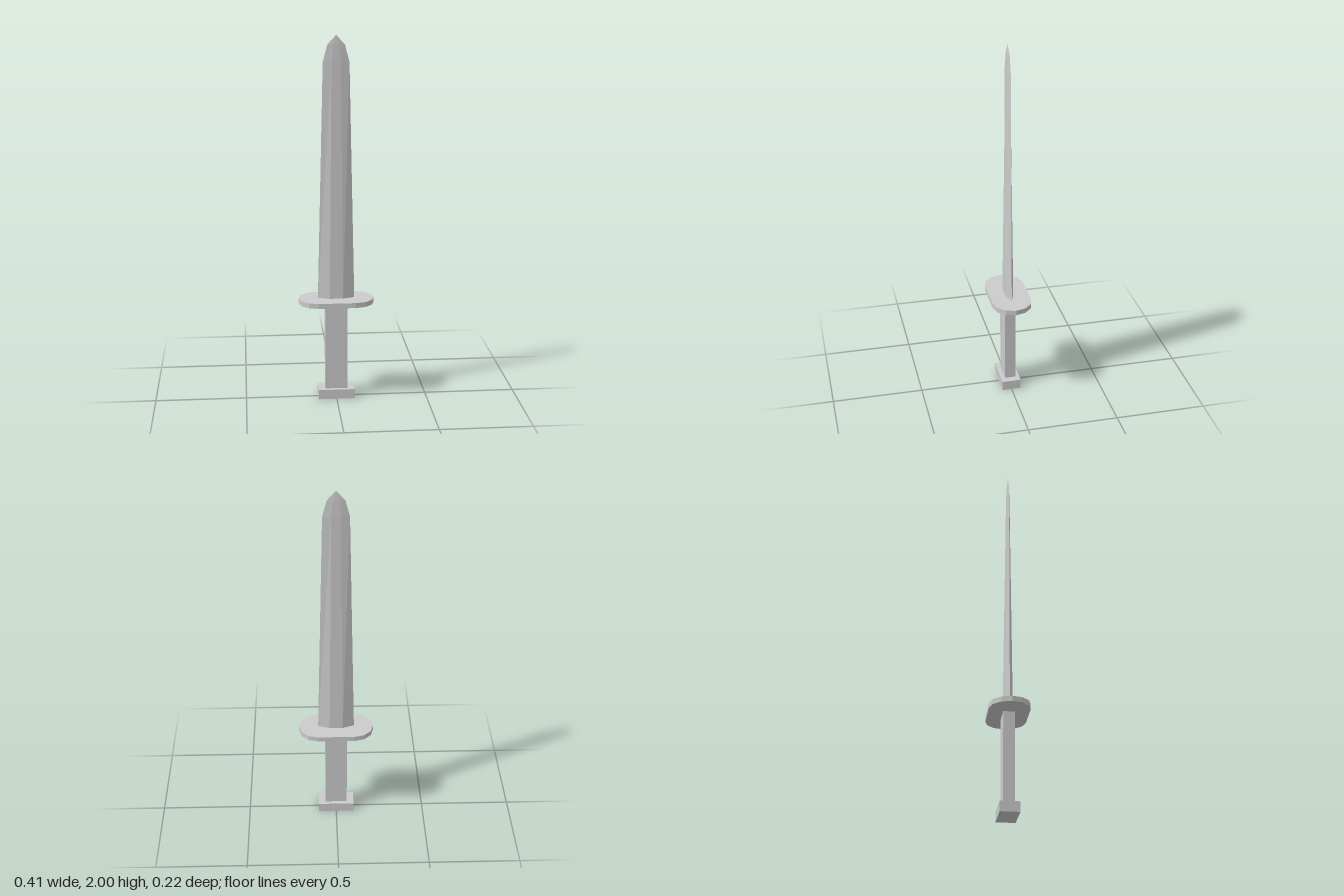
import * as THREE from 'three';

const material = new THREE.MeshStandardMaterial({ color: 0xcccccc, flatShading: true });

function addMesh(group, name, geometry, y = 0) {
  const mesh = new THREE.Mesh(geometry, material);
  mesh.name = name;
  mesh.position.y = y;
  group.add(mesh);
}

// Hexagonal blade lofted through [height, half width, half width of flat, half thickness]
function bladeGeometry() {
  const rings = [
    [0.56, 0.1, 0.036, 0.023],
    [1.86, 0.07, 0.025, 0.007],
    [1.95, 0.046, 0.016, 0.004],
    [2.0, 0, 0, 0],
  ].map(([y, w, f, t]) =>
    [[w, 0], [f, t], [-f, t], [-w, 0], [-f, -t], [f, -t]].map(([x, z]) => [x, y, z]));
  const positions = [];
  for (let i = 0; i < rings.length - 1; i++) {
    for (let j = 0; j < 6; j++) {
      const k = (j + 1) % 6;
      const a = rings[i][j], b = rings[i][k], c = rings[i + 1][k], d = rings[i + 1][j];
      positions.push(...a, ...d, ...b);
      if (i < rings.length - 2) positions.push(...d, ...c, ...b);
    }
  }
  const geometry = new THREE.BufferGeometry();
  geometry.setAttribute('position', new THREE.Float32BufferAttribute(positions, 3));
  geometry.computeVertexNormals();
  return geometry;
}

// Oval plate with faceted round ends
function guardGeometry() {
  const points = [];
  for (const side of [1, -1]) {
    for (let i = 0; i <= 6; i++) {
      const angle = -Math.PI / 2 + (i * Math.PI) / 6;
      points.push(new THREE.Vector2(
        side * (0.1 + 0.107 * Math.cos(angle)), side * 0.108 * Math.sin(angle)));
    }
  }
  const geometry = new THREE.ExtrudeGeometry(new THREE.Shape(points), { depth: 0.028, bevelEnabled: false });
  return geometry.rotateX(-Math.PI / 2);
}

export function createModel() {
  const group = new THREE.Group();
  group.name = 'sword';
  addMesh(group, 'pommel', new THREE.BoxGeometry(0.2, 0.054, 0.104), 0.027);
  addMesh(group, 'grip', new THREE.BoxGeometry(0.122, 0.5, 0.06), 0.302);
  addMesh(group, 'guard', guardGeometry(), 0.546);
  addMesh(group, 'blade', bladeGeometry());
  return group;
}
